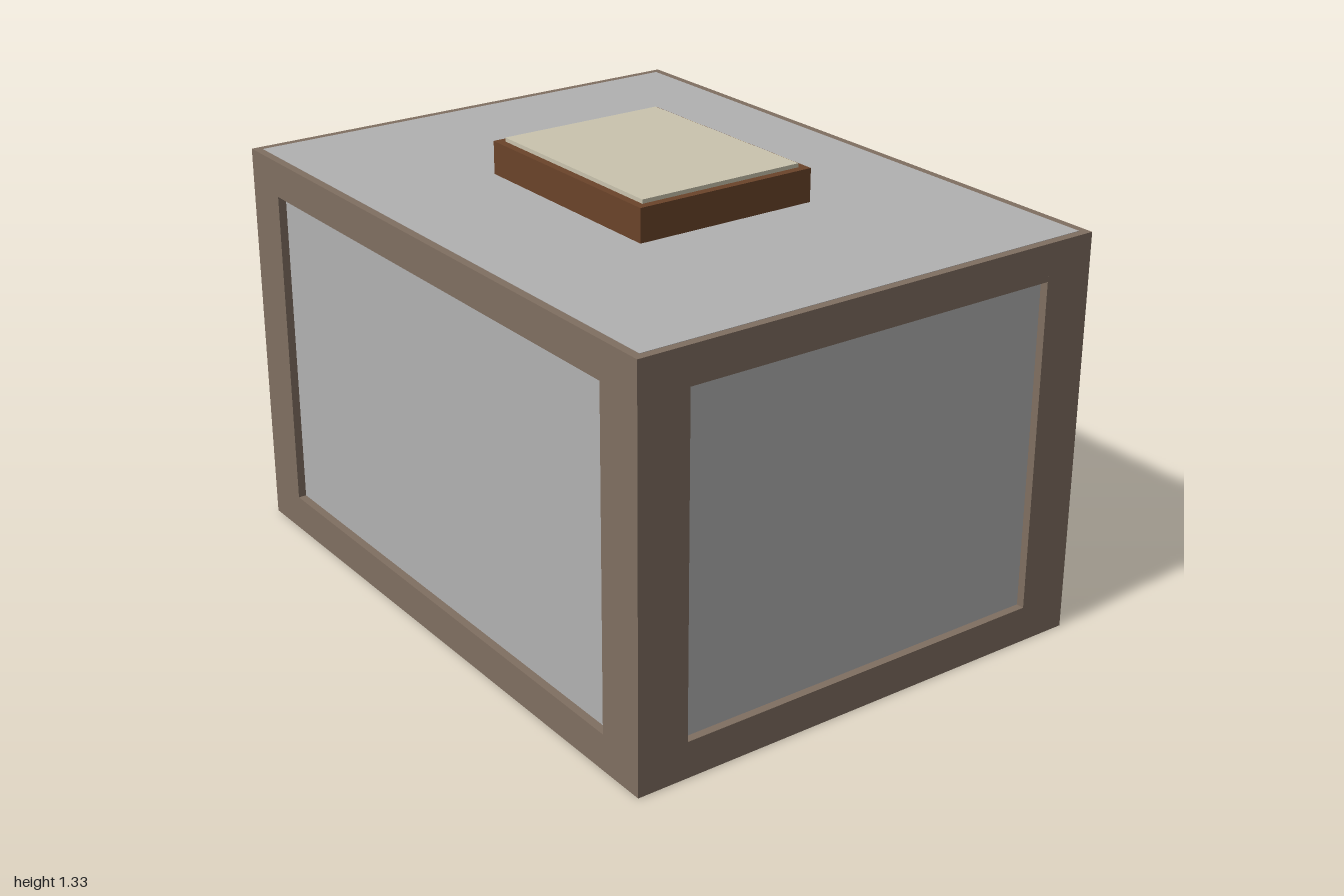
import * as THREE from 'three';

const material = (name, color) => {
  const m = new THREE.MeshStandardMaterial({ color });
  m.name = name;
  return m;
};

export function createModel() {
  const model = new THREE.Group();
  model.name = 'framedBox';

  const panelGrey = material('panelGrey', 0xb2b2b2);
  const frameBrown = material('frameBrown', 0x806f61);
  const lidBrown = material('lidBrown', 0x6b442a);
  const cream = material('cream', 0xcac4ae);

  // Box of size w, h, d with its base at height y
  const box = (name, mat, w, h, d, x, y, z, parent = model) => {
    const mesh = new THREE.Mesh(new THREE.BoxGeometry(w, h, d), mat);
    mesh.name = name;
    mesh.position.set(x, y + h / 2, z);
    parent.add(mesh);
  };

  const W = 2, H = 1.22, D = 1.51;
  const post = 0.157, rail = 0.11, gap = 0.001;

  // Grey body, set back from the frame on all four sides
  box('body', panelGrey, W - 0.05, H, D - 0.05, 0, 0, 0);

  // Frame of corner posts and rails, a hair short of the body's top and base
  const frame = new THREE.Group();
  frame.name = 'frame';
  model.add(frame);
  const px = (W - post) / 2, pz = (D - post) / 2;
  for (const s of [-1, 1]) {
    for (const t of [-1, 1]) {
      box('cornerPost', frameBrown, post, H - 2 * gap, post, s * px, gap, t * pz, frame);
    }
    for (const y of [gap, H - gap - rail]) {
      box('longRail', frameBrown, W - 2 * post, rail, post, 0, y, s * pz, frame);
      box('sideRail', frameBrown, post, rail, D - 2 * post, s * px, y, 0, frame);
    }
  }

  // Raised block with a cream plate on top
  box('topBlock', lidBrown, 0.73, 0.1, 0.584, 0, H, 0);
  box('topPlate', cream, 0.68, 0.012, 0.535, 0, H + 0.1, 0);

  return model;
}
